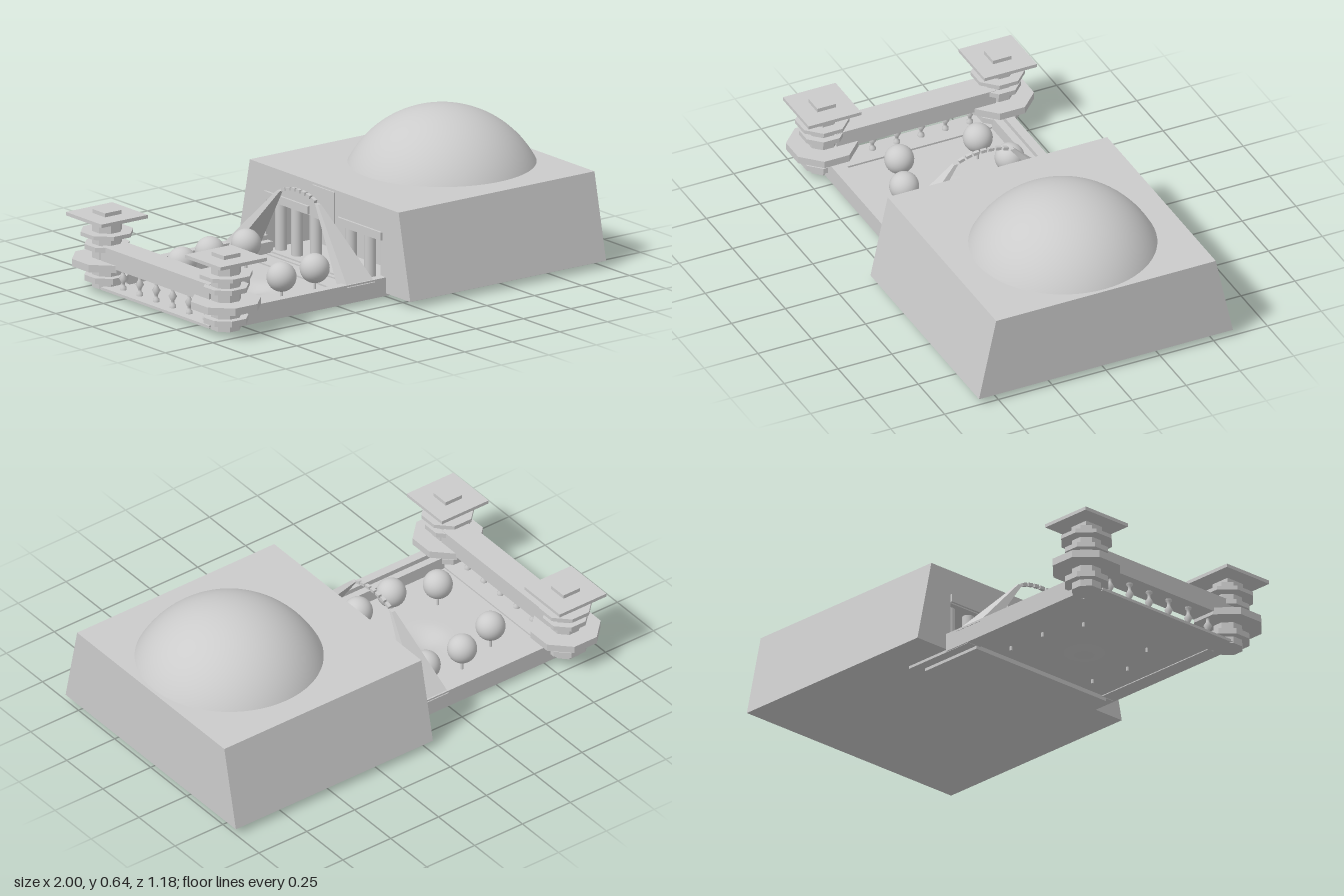
import * as THREE from 'three';

const mat = new THREE.MeshStandardMaterial({ color: 0xcccccc });
const flat = new THREE.MeshStandardMaterial({ color: 0xcccccc, flatShading: true });
const sheet = new THREE.MeshStandardMaterial({ color: 0xcccccc, side: THREE.DoubleSide });

function add(parent, name, geo, x = 0, y = 0, z = 0, material = mat) {
  const m = new THREE.Mesh(geo, material);
  m.name = name;
  m.position.set(x, y, z);
  parent.add(m);
  return m;
}

// box given by its min and max on each axis
function box(parent, name, x0, x1, y0, y1, z0, z1) {
  return add(parent, name, new THREE.BoxGeometry(x1 - x0, y1 - y0, z1 - z0),
    (x0 + x1) / 2, (y0 + y1) / 2, (z0 + z1) / 2);
}

// octagonal prism with flat sides facing the axes
function octagon(parent, name, apothem, y0, y1) {
  const r = apothem / Math.cos(Math.PI / 8);
  const m = add(parent, name, new THREE.CylinderGeometry(r, r, y1 - y0, 8), 0, (y0 + y1) / 2, 0, flat);
  m.rotation.y = Math.PI / 8;
  return m;
}

// trapezoid section of the hall, run along x, with an optional porch opening
function hallSection(parent, name, x0, x1, opening) {
  const s = new THREE.Shape([[-0.59, 0.03], [0.59, 0.03], [0.51, 0.4], [-0.51, 0.4]]
    .map(p => new THREE.Vector2(...p)));
  if (opening) {
    s.holes.push(new THREE.Path([[-0.4, 0.035], [-0.4, 0.25], [0.4, 0.25], [0.4, 0.035]]
      .map(p => new THREE.Vector2(...p))));
  }
  const g = new THREE.ExtrudeGeometry(s, { depth: x1 - x0, bevelEnabled: false });
  g.rotateY(Math.PI / 2);
  add(parent, name, g, x0, 0, 0);
}

function hall(root) {
  const g = new THREE.Group();
  g.name = 'hall';
  root.add(g);
  hallSection(g, 'hallBody', 0.2, 1, false);
  hallSection(g, 'porchShell', -0.03, 0.2, true);
  // dome: cap of a sphere
  const R = 0.445, cap = Math.acos(0.205 / R);
  add(g, 'dome', new THREE.SphereGeometry(R, 64, 24, 0, Math.PI * 2, 0, cap), 0.59, 0.195, 0);
  // porch columns, lintel strips and central panel
  for (const s of [-1, 1]) {
    for (const z of [0.12, 0.25, 0.36]) {
      add(g, 'porchColumn', new THREE.CylinderGeometry(0.025, 0.025, 0.22, 20), 0.02, 0.14, s * z);
    }
    box(g, 'lintelStrip', -0.04, -0.03, 0.255, 0.29, s * 0.25 - 0.15, s * 0.25 + 0.15);
  }
  box(g, 'centrePanel', -0.037, -0.03, 0.25, 0.39, -0.075, 0.075);
  // steps before the porch
  for (let i = 0; i < 3; i++) box(g, 'step', -0.09 + i * 0.02, -0.03, 0.02, 0.03 + i * 0.007, -0.34, 0.34);
  box(g, 'foundation', -0.16, 0.15, 0.005, 0.025, -0.375, 0.375);
  box(g, 'foundationLip', -0.16, 0.2, 0.018, 0.031, -0.42, 0.42);
}

function courtyard(root) {
  const g = new THREE.Group();
  g.name = 'courtyard';
  root.add(g);
  // floor with a shallow pond hollow
  const floor = new THREE.PlaneGeometry(0.84, 0.84, 48, 48);
  floor.rotateX(-Math.PI / 2);
  floor.translate(-0.5, 0.024, 0);
  const p = floor.attributes.position;
  for (let i = 0; i < p.count; i++) {
    const d = Math.hypot((p.getX(i) + 0.42) / 0.13, p.getZ(i) / 0.13);
    if (d < 1) p.setY(i, 0.024 - 0.022 * (0.5 + 0.5 * Math.cos(Math.PI * d)));
  }
  floor.computeVertexNormals();
  add(g, 'courtyardFloor', floor, 0, 0, 0, sheet);
  for (const s of [-1, 1]) {
    const zs = (a, b) => (s > 0 ? [a, b] : [-b, -a]);
    box(g, 'sideWall', -0.8, -0.03, 0.02, 0.1, ...zs(0.385, 0.425));
    box(g, 'wallLedge', -0.8, -0.03, 0.02, 0.08, ...zs(0.352, 0.385));
  }
  // round trees
  for (const [x, z] of [[-0.625, -0.2], [-0.435, -0.255], [-0.245, -0.255],
    [-0.625, 0.165], [-0.435, 0.235], [-0.245, 0.215]]) {
    add(g, 'treeCrown', new THREE.SphereGeometry(0.063, 32, 20), x, 0.13, z);
    add(g, 'treeTrunk', new THREE.CylinderGeometry(0.006, 0.006, 0.08, 10), x, 0.045, z);
  }
}

function arch(root) {
  const g = new THREE.Group();
  g.name = 'arch';
  root.add(g);
  // leaning legs: box whose top is narrowed and moved to the middle
  for (const s of [-1, 1]) {
    const leg = new THREE.BoxGeometry(1, 1, 1).toNonIndexed();
    const p = leg.attributes.position;
    for (let i = 0; i < p.count; i++) {
      const top = p.getY(i) > 0;
      p.setXYZ(i, p.getX(i) * (top ? 0.016 : 0.145), top ? 0.375 : 0.09,
        s * (top ? 0.13 : 0.39) + p.getZ(i) * (top ? 0.02 : 0.075));
    }
    leg.computeVertexNormals();
    add(g, 'archLeg', leg, -0.163, 0, 0, flat);
  }
  // small blocks bridging the legs
  for (let i = -3; i <= 3; i++) {
    const t = i / 3.6;
    const b = add(g, 'archBlock', new THREE.BoxGeometry(0.015, 0.014, 0.026),
      -0.163, 0.365 + 0.037 * Math.sqrt(1 - t * t), i * 0.034);
    b.rotation.x = t * 0.4;
  }
}

function gate(root) {
  const g = new THREE.Group();
  g.name = 'gate';
  root.add(g);
  box(g, 'gateBeam', -0.92, -0.8, 0.13, 0.21, -0.37, 0.37);
  box(g, 'gateSill', -0.92, -0.8, 0.02, 0.032, -0.37, 0.37);
  // turned balusters under the beam
  const profile = [[0.014, 0], [0.014, 0.012], [0.007, 0.02], [0.007, 0.03], [0.018, 0.05],
    [0.007, 0.07], [0.007, 0.085], [0.014, 0.092], [0.014, 0.1]].map(a => new THREE.Vector2(...a));
  for (let i = 0; i < 6; i++) {
    add(g, 'baluster', new THREE.LatheGeometry(profile, 14), -0.87, 0.031, (i - 2.5) * 0.113, sheet);
  }
  // stacked corner towers
  for (const s of [-1, 1]) {
    const t = new THREE.Group();
    t.name = 'tower';
    t.position.set(-0.86, 0, s * 0.408);
    g.add(t);
    octagon(t, 'towerCore', 0.06, 0.02, 0.3);
    for (const [a, y0, y1] of [[0.09, 0.05, 0.075], [0.14, 0.115, 0.147],
      [0.09, 0.187, 0.208], [0.105, 0.245, 0.262]]) octagon(t, 'towerTier', a, y0, y1);
    box(t, 'towerNeck', -0.045, 0.045, 0.3, 0.32, -0.045, 0.045);
    box(t, 'towerPlate', -0.122, 0.122, 0.318, 0.333, -0.122, 0.122);
    box(t, 'towerCap', -0.043, 0.043, 0.333, 0.35, -0.043, 0.043);
  }
}

export function createModel() {
  const root = new THREE.Group();
  root.name = 'templeCompound';
  hall(root);
  courtyard(root);
  arch(root);
  gate(root);
  return root;
}
